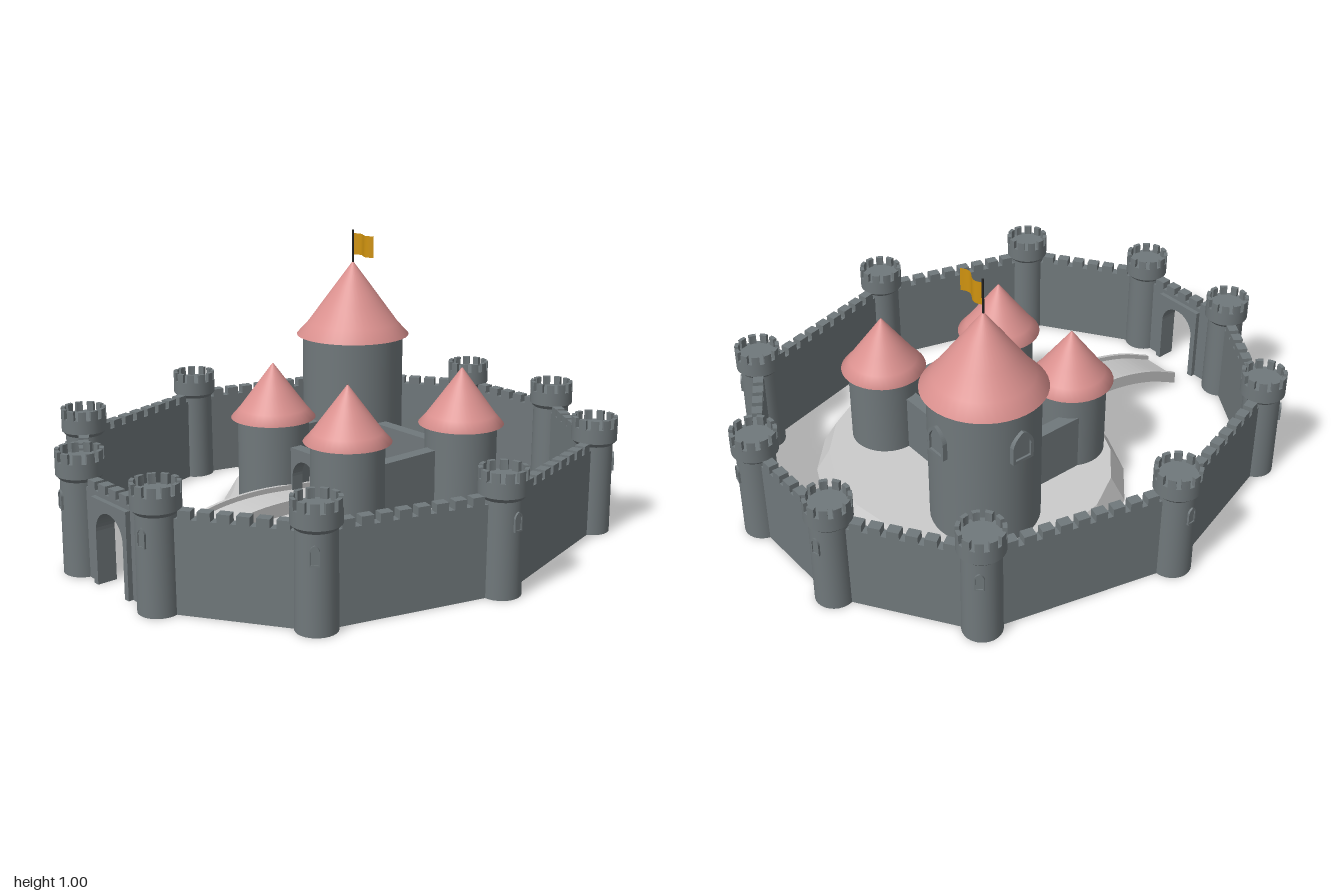
import * as THREE from 'three';

const stone = new THREE.MeshStandardMaterial({ color: 0x70787b });
const rock = new THREE.MeshStandardMaterial({ color: 0xcccccc, flatShading: true });
const roofMat = new THREE.MeshStandardMaterial({ color: 0xdb918f, side: THREE.DoubleSide });
const flagMat = new THREE.MeshStandardMaterial({ color: 0xd0930f, side: THREE.DoubleSide });
const poleMat = new THREE.MeshStandardMaterial({ color: 0x222222 });

function add(parent, name, geo, mat, x = 0, y = 0, z = 0, ry = 0) {
  const m = new THREE.Mesh(geo, mat);
  m.name = name;
  m.position.set(x, y, z);
  m.rotation.y = ry;
  parent.add(m);
  return m;
}

function group(parent, name, x = 0, y = 0, z = 0, ry = 0) {
  const g = new THREE.Group();
  g.name = name;
  g.position.set(x, y, z);
  g.rotation.y = ry;
  parent.add(g);
  return g;
}

const lathe = (pts, seg = 32) => new THREE.LatheGeometry(pts.map(p => new THREE.Vector2(...p)), seg);

function extrude(shape, depth) {
  const g = new THREE.ExtrudeGeometry(shape, { depth, bevelEnabled: false, curveSegments: 10 });
  return g.translate(0, 0, -depth / 2);
}

// Pointed arch outline of half width w, standing on y0, peak at y1
function pointedArch(target, w, y0, y1) {
  const spring = y1 - w * 1.2;
  target.moveTo(-w, y0);
  target.lineTo(w, y0);
  target.lineTo(w, spring);
  target.quadraticCurveTo(w * 0.8, y1 - w * 0.4, 0, y1);
  target.quadraticCurveTo(-w * 0.8, y1 - w * 0.4, -w, spring);
  target.closePath();
  return target;
}

// Framed window facing +z of its group
function addWindow(parent, name, x, y, z, ry, w, h, rim, depth) {
  const g = group(parent, name, x, y, z, ry);
  const frame = pointedArch(new THREE.Shape(), w, 0, h);
  frame.holes.push(pointedArch(new THREE.Path(), w - rim, rim, h - rim * 1.3));
  add(g, 'windowFrame', extrude(frame, depth), stone);
  add(g, 'windowPane', extrude(pointedArch(new THREE.Shape(), w - rim, rim, h - rim * 1.3), depth * 0.4), stone);
}

// Wall panel with a round-headed doorway through it
function archedPanel(width, height, depth, half, top) {
  const s = new THREE.Shape();
  s.moveTo(-width / 2, 0);
  s.lineTo(-half, 0);
  s.lineTo(-half, top - half);
  s.absarc(0, top - half, half, Math.PI, 0, true);
  s.lineTo(half, 0);
  s.lineTo(width / 2, 0);
  s.lineTo(width / 2, height);
  s.lineTo(-width / 2, height);
  s.closePath();
  return extrude(s, depth);
}

// Outer tower: shaft, flared crown, ring of merlons and a slit window
function outerTower(parent, x, z) {
  const g = group(parent, 'outerTower', x, 0, z, Math.atan2(x, z));
  add(g, 'towerShaft', new THREE.CylinderGeometry(0.066, 0.068, 0.33, 28), stone, 0, 0.165);
  add(g, 'towerCorbel', new THREE.CylinderGeometry(0.08, 0.066, 0.015, 28), stone, 0, 0.33);
  add(g, 'towerCrown', new THREE.CylinderGeometry(0.08, 0.08, 0.05, 28), stone, 0, 0.362);
  const n = 11;
  for (let i = 0; i < n; i++) {
    const s = new THREE.Shape();
    const a = (i / n) * Math.PI * 2, b = a + (Math.PI * 2 / n) * 0.62;
    s.absarc(0, 0, 0.08, a, b, false);
    s.absarc(0, 0, 0.066, b, a, true);
    s.closePath();
    const geo = new THREE.ExtrudeGeometry(s, { depth: 0.036, bevelEnabled: false, curveSegments: 3 });
    add(g, 'towerMerlon', geo.rotateX(-Math.PI / 2), stone, 0, 0.384);
  }
  addWindow(g, 'slitWindow', 0, 0.225, 0.066, 0, 0.016, 0.065, 0.005, 0.012);
}

// Curtain wall between two points, topped with merlons
function curtainWall(parent, [x0, z0], [x1, z1], gate) {
  const len = Math.hypot(x1 - x0, z1 - z0);
  const g = group(parent, gate ? 'gateWall' : 'curtainWall',
    (x0 + x1) / 2, 0, (z0 + z1) / 2, -Math.atan2(z1 - z0, x1 - x0));
  if (gate) {
    add(g, 'gatePanel', archedPanel(len, 0.31, 0.036, 0.078, 0.26), stone);
    add(g, 'gateArch', archedPanel(0.2, 0.295, 0.07, 0.078, 0.26), stone);
  } else {
    add(g, 'wallPanel', new THREE.BoxGeometry(len, 0.31, 0.036), stone, 0, 0.155);
  }
  const run = len - 0.13, n = Math.round(run / 0.066);
  for (let i = 0; i < n; i++) {
    add(g, 'wallMerlon', new THREE.BoxGeometry(0.042, 0.03, 0.036), stone, ((i + 0.5) / n - 0.5) * run, 0.323);
  }
}

// Castle tower with a flared conical roof
function castleTower(parent, name, x, z, r, eave, roofR, peak) {
  const g = group(parent, name, x, 0, z);
  add(g, 'shaft', new THREE.CylinderGeometry(r, r, eave, 40), stone, 0, eave / 2);
  const h = peak - eave;
  add(g, 'roof', lathe([[0, 0], [r, 0], [roofR, -0.006], [roofR * 0.8, h * 0.15], [roofR * 0.55, h * 0.42],
    [roofR * 0.3, h * 0.69], [0.002, h]], 40), roofMat, 0, eave);
  return g;
}

// Arched footbridge strip, optionally raised, for deck and parapets
function bridgeStrip(lift, thick, width) {
  const pts = new THREE.CatmullRomCurve3([[-0.8, 0.03], [-0.65, 0.1], [-0.48, 0.145], [-0.3, 0.155], [-0.02, 0.13]]
    .map(([x, y]) => new THREE.Vector3(x, y, 0))).getPoints(24);
  const low = pts.map(p => new THREE.Vector2(p.x, p.y + lift - thick));
  const high = pts.map(p => new THREE.Vector2(p.x, p.y + lift)).reverse();
  return extrude(new THREE.Shape([...low, ...high]), width);
}

export function createModel() {
  const model = new THREE.Group();
  model.name = 'castle';

  // Outer ring; the gate lies on the -x side
  const ring = [[-0.04, -0.825], [0.63, -0.655], [0.91, -0.235], [0.915, 0.205], [0.65, 0.63],
    [-0.02, 0.815], [-0.635, 0.645], [-0.915, 0.225], [-0.92, -0.21], [-0.65, -0.64]];
  ring.forEach((p, i) => {
    outerTower(model, ...p);
    curtainWall(model, p, ring[(i + 1) % ring.length], i === 7);
  });

  // Oval mound under the inner castle
  const mound = add(model, 'mound', new THREE.CylinderGeometry(0.545, 0.6, 0.09, 20), rock, 0.17, 0.045, 0);
  mound.scale.x = 0.9;

  // Inner castle towers
  const keep = castleTower(model, 'keep', 0.328, -0.29, 0.19, 0.615, 0.213, 0.885);
  castleTower(model, 'rearTower', -0.13, -0.2, 0.128, 0.39, 0.152, 0.58);
  castleTower(model, 'frontTower', -0.13, 0.205, 0.128, 0.39, 0.152, 0.58);
  castleTower(model, 'cornerTower', 0.335, 0.285, 0.128, 0.385, 0.152, 0.58);
  addWindow(keep, 'keepWindow', 0.188, 0.42, 0, Math.PI / 2, 0.042, 0.115, 0.011, 0.028);
  addWindow(keep, 'keepWindow', 0, 0.42, -0.188, Math.PI, 0.042, 0.115, 0.011, 0.028);

  // Inner walls joining the towers
  add(model, 'innerWall', new THREE.BoxGeometry(0.4, 0.3, 0.048), stone, 0.05, 0.15, -0.29);
  add(model, 'innerWall', new THREE.BoxGeometry(0.4, 0.3, 0.048), stone, 0.1, 0.15, 0.262);
  add(model, 'innerWall', new THREE.BoxGeometry(0.048, 0.3, 0.5), stone, 0.305, 0.15, 0);
  add(model, 'innerGate', archedPanel(0.3, 0.3, 0.045, 0.065, 0.26), stone, -0.13, 0, 0, Math.PI / 2);

  // Bridge
  const bridge = group(model, 'bridge');
  add(bridge, 'bridgeDeck', bridgeStrip(0, 0.03, 0.16), rock);
  for (const s of [-1, 1]) add(bridge, 'bridgeParapet', bridgeStrip(0.018, 0.048, 0.012), rock, 0, 0, s * 0.076);

  // Flag with a gentle wave, flying towards +z
  add(keep, 'flagPole', new THREE.CylinderGeometry(0.004, 0.004, 0.14, 10), poleMat, 0, 0.935);
  const cloth = new THREE.PlaneGeometry(0.115, 0.08, 16, 1).rotateY(-Math.PI / 2);
  const p = cloth.attributes.position;
  for (let i = 0; i < p.count; i++) p.setX(i, 0.012 * Math.sin((p.getZ(i) + 0.0575) * 55));
  cloth.computeVertexNormals();
  add(keep, 'flag', cloth, flagMat, 0, 0.952, 0.0575);

  return model;
}
